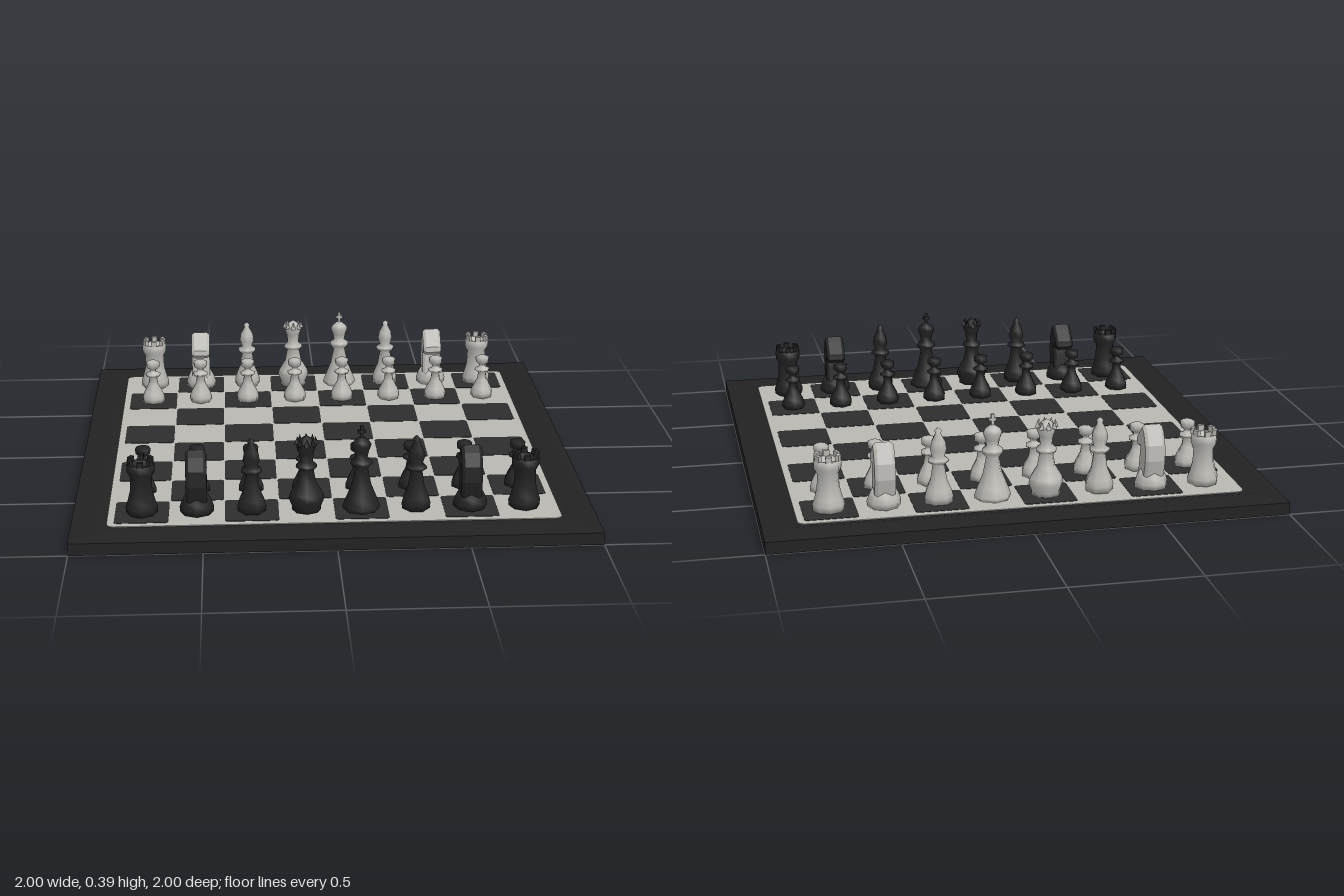
import * as THREE from 'three';

const mat = (name, color) => {
  const m = new THREE.MeshStandardMaterial({ color });
  m.name = name;
  return m;
};

const FLOOR = 0.056; // height of the playing surface
const CELL = 0.21;

function add(parent, name, geometry, material, x = 0, y = 0, z = 0) {
  const mesh = new THREE.Mesh(geometry, material);
  mesh.name = name;
  mesh.position.set(x, y, z);
  parent.add(mesh);
  return mesh;
}

// Turned body from [radius, height] pairs
function turned(points, sides = 8) {
  return new THREE.LatheGeometry(points.map(([r, y]) => new THREE.Vector2(r, y)), sides);
}

// Thin flat tile with rounded corners, lying in the xz plane
function tile(size, radius, thickness) {
  const h = size / 2, s = new THREE.Shape();
  const corners = [[1, -1, -90], [1, 1, 0], [-1, 1, 90], [-1, -1, 180]];
  for (const [sx, sy, deg] of corners) {
    const a = THREE.MathUtils.degToRad(deg);
    s.absarc(sx * (h - radius), sy * (h - radius), radius, a, a + Math.PI / 2, false);
  }
  s.closePath();
  return new THREE.ExtrudeGeometry(s, { depth: thickness, bevelEnabled: false, curveSegments: 4 })
    .rotateX(-Math.PI / 2);
}

// Heights below are measured from the playing surface
const bodies = {
  pawn: turned([[0, 0], [0.049, 0], [0.05, 0.02], [0.042, 0.042], [0.022, 0.08], [0.017, 0.112],
    [0.033, 0.122], [0.033, 0.13], [0.013, 0.14], [0.014, 0.15], [0.029, 0.16], [0.031, 0.182], [0.02, 0.188], [0, 0.19]], 7),
  rook: turned([[0, 0], [0.06, 0], [0.062, 0.025], [0.053, 0.05], [0.043, 0.09], [0.041, 0.145],
    [0.053, 0.168], [0.053, 0.2], [0.037, 0.2], [0.035, 0.18], [0, 0.18]], 8),
  bishop: turned([[0, 0], [0.055, 0], [0.057, 0.025], [0.05, 0.05], [0.033, 0.09], [0.024, 0.15],
    [0.041, 0.162], [0.04, 0.172], [0.024, 0.182], [0.033, 0.21], [0.028, 0.24], [0.011, 0.272], [0.014, 0.284], [0, 0.297]], 7),
  queen: turned([[0, 0], [0.056, 0], [0.056, 0.015], [0.069, 0.048], [0.063, 0.07], [0.036, 0.115], [0.027, 0.165],
    [0.041, 0.175], [0.04, 0.185], [0.024, 0.2], [0.028, 0.235], [0.042, 0.272], [0.03, 0.275], [0.022, 0.29], [0, 0.303]], 8),
  king: turned([[0, 0], [0.07, 0], [0.072, 0.015], [0.058, 0.05], [0.038, 0.1], [0.025, 0.165],
    [0.042, 0.185], [0.041, 0.197], [0.023, 0.21], [0.028, 0.235], [0.038, 0.262], [0.03, 0.277], [0.01, 0.292], [0, 0.295]], 8),
  knight: turned([[0, 0], [0.064, 0], [0.066, 0.022], [0.058, 0.045], [0.045, 0.07], [0, 0.075]], 8),
};

// Horse head: side profile, muzzle towards +z
function horseHead() {
  const outline = [[-0.04, 0.05], [-0.056, 0.12], [-0.05, 0.18], [-0.026, 0.228], [0.002, 0.248],
    [0.022, 0.23], [0.07, 0.185], [0.074, 0.165], [0.058, 0.15], [0.022, 0.16], [0.03, 0.12], [0.042, 0.05]];
  const s = new THREE.Shape(outline.map(([f, y]) => new THREE.Vector2(f, y)));
  const g = new THREE.ExtrudeGeometry(s, {
    depth: 0.056, bevelEnabled: true, bevelSegments: 1, bevelThickness: 0.012, bevelSize: 0.008, bevelOffset: -0.005,
  });
  return g.translate(0, 0, -0.028).rotateY(-Math.PI / 2);
}
const headGeo = horseHead();
const merlonGeo = new THREE.BoxGeometry(0.024, 0.024, 0.015);
const spikeGeo = new THREE.ConeGeometry(0.013, 0.032, 4);
const crossUp = new THREE.BoxGeometry(0.012, 0.052, 0.012);
const crossBar = new THREE.BoxGeometry(0.03, 0.011, 0.011);

// Ring of identical small parts on top of a piece
function ring(piece, name, geometry, material, count, radius, y) {
  for (let i = 0; i < count; i++) {
    const a = (i / count) * Math.PI * 2;
    add(piece, name, geometry, material, Math.sin(a) * radius, y, Math.cos(a) * radius).rotation.y = a;
  }
}

function makePiece(kind, material) {
  const piece = new THREE.Group();
  piece.name = kind;
  add(piece, kind + 'Body', bodies[kind], material);
  if (kind === 'rook') ring(piece, 'merlon', merlonGeo, material, 6, 0.043, 0.21);
  if (kind === 'queen') ring(piece, 'crownPoint', spikeGeo, material, 8, 0.034, 0.284);
  if (kind === 'knight') add(piece, 'horseHead', headGeo, material);
  if (kind === 'king') {
    add(piece, 'crossUpright', crossUp, material, 0, 0.31);
    add(piece, 'crossBar', crossBar, material, 0, 0.315);
  }
  return piece;
}

function makeBoard(frameMat, lightMat, darkMat) {
  const board = new THREE.Group();
  board.name = 'board';
  // Square frame with a gently sloping rim
  const r = Math.SQRT2;
  const frame = turned([[0, 0], [r, 0], [r, 0.048], [0.97 * r, 0.052], [0.9 * r, 0.056], [0.88 * r, 0.052], [0, 0.05]], 4)
    .rotateY(Math.PI / 4).toNonIndexed();
  frame.computeVertexNormals();
  add(board, 'frame', frame, frameMat);
  add(board, 'lightField', tile(1.73, 0.03, 0.006), lightMat, 0, 0.049, 0);
  // Dark squares
  const square = tile(0.206, 0.014, 0.003);
  for (let i = 0; i < 8; i++) {
    for (let j = 0; j < 8; j++) {
      if ((i + j) % 2) add(board, 'darkSquare', square, darkMat, (i - 3.5) * CELL, 0.0535, (j - 3.5) * CELL);
    }
  }
  return board;
}

export function createModel() {
  const model = new THREE.Group();
  model.name = 'chessSet';
  const frameMat = mat('frameBlack', 0x222222);
  const lightField = mat('lightSquareGrey', 0xb9b8b3);
  const darkField = mat('darkSquareGrey', 0x2d2d2d);
  const blackMat = mat('blackPiece', 0x232323);
  const whiteMat = mat('whitePiece', 0xb9b8b3);
  model.add(makeBoard(frameMat, lightField, darkField));

  // Two armies facing each other, dark at the front
  const order = ['rook', 'knight', 'bishop', 'queen', 'king', 'bishop', 'knight', 'rook'];
  for (const [side, material, name] of [[1, blackMat, 'blackArmy'], [-1, whiteMat, 'whiteArmy']]) {
    const army = new THREE.Group();
    army.name = name;
    order.forEach((kind, i) => {
      for (const [k, row] of [[kind, 3.5], ['pawn', 2.5]]) {
        const piece = makePiece(k, material);
        piece.position.set((i - 3.5) * CELL, FLOOR, side * row * CELL);
        piece.rotation.y = side > 0 ? Math.PI : 0;
        army.add(piece);
      }
    });
    model.add(army);
  }
  return model;
}
